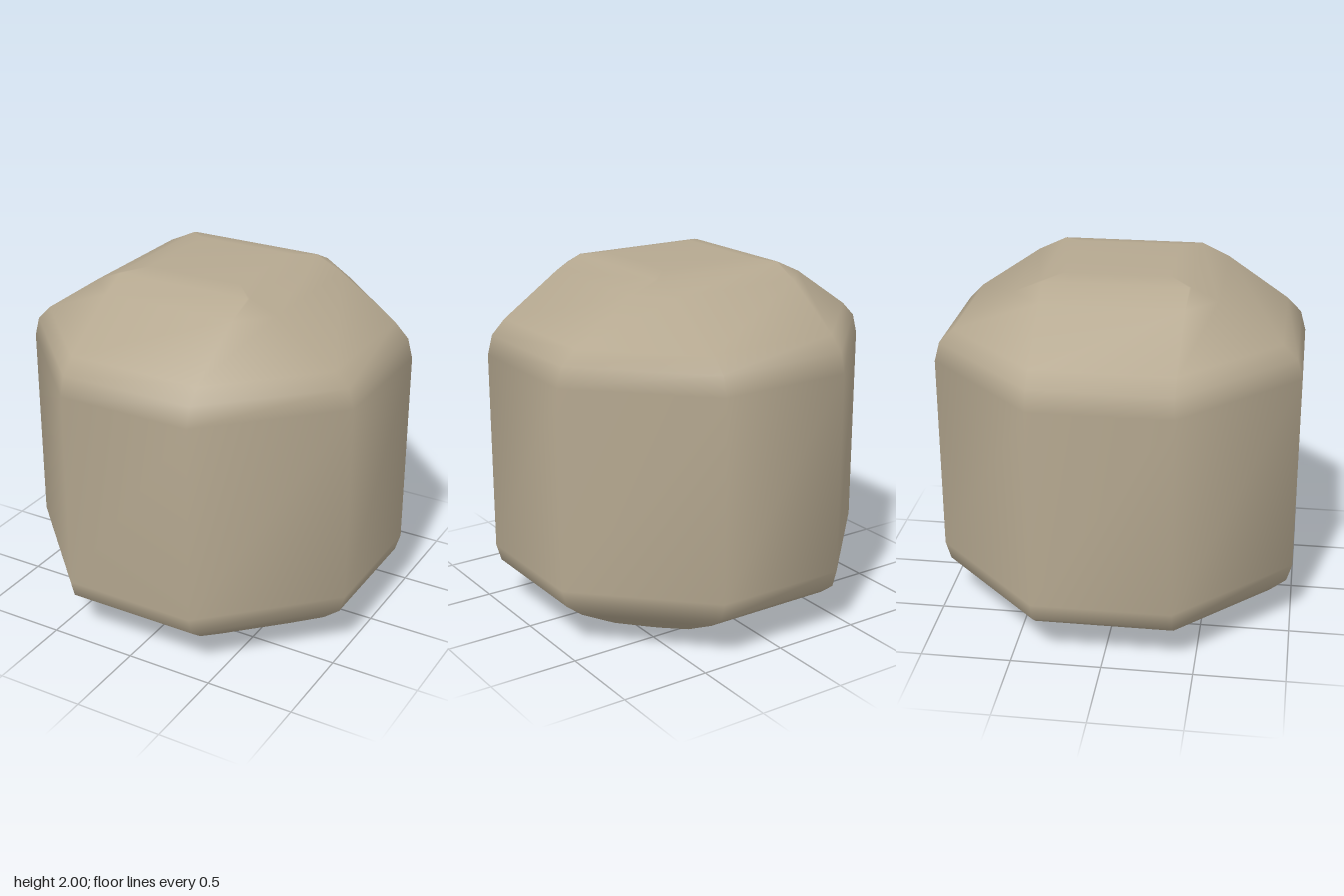
import * as THREE from 'three';
import { mergeVertices } from 'three/addons/utils/BufferGeometryUtils.js';

// Cross-sections from bottom to top: [reach of the four main sides, half width of those sides, height]
const SECTIONS = [
  [0.29, 0.29, 0], [0.47, 0.42, 0.02], [0.68, 0.39, 0.09], [0.88, 0.38, 0.19],
  [0.97, 0.38, 0.26], [1, 0.38, 0.36],
  [1, 0.38, 1.49], [0.97, 0.38, 1.6], [0.89, 0.38, 1.68],
  [0.55, 0.385, 1.91], [0.4, 0.39, 1.98], [0.28, 0.28, 2],
];

// Eight corners of a section, turning from +z towards +x
function ring([r, w, y]) {
  const points = [];
  for (let i = 0; i < 4; i++) {
    const s = Math.round(Math.sin(i * Math.PI / 2));
    const c = Math.round(Math.cos(i * Math.PI / 2));
    for (const x of [-w, w]) points.push(x * c + r * s, y, r * c - x * s);
  }
  return points;
}

// Octagonal block whose ends close to a square, shaded smoothly all over
function roundedBlock() {
  const positions = SECTIONS.flatMap(ring);
  const index = [];
  for (let k = 0; k < SECTIONS.length - 1; k++) {
    for (let i = 0; i < 8; i++) {
      const a = k * 8 + i, b = k * 8 + (i + 1) % 8;
      // skip slivers where the end section has merged corners
      if (!(k === 0 && i % 2)) index.push(a, b, b + 8);
      if (!(k === SECTIONS.length - 2 && i % 2)) index.push(a, b + 8, a + 8);
      else index.push(a, b, b + 8);
      if (k === SECTIONS.length - 2 && i % 2) index.splice(-3);
    }
  }
  // flat square ends
  const t = (SECTIONS.length - 1) * 8;
  index.push(0, 4, 2, 0, 6, 4, t, t + 2, t + 4, t, t + 4, t + 6);

  let geometry = new THREE.BufferGeometry();
  geometry.setAttribute('position', new THREE.Float32BufferAttribute(positions, 3));
  geometry.setIndex(index);
  geometry = mergeVertices(geometry, 1e-4);
  geometry.computeVertexNormals();
  return geometry;
}

export function createModel() {
  const group = new THREE.Group();
  group.name = 'bevelledBlock';
  const stone = new THREE.MeshStandardMaterial({ color: 0xb5a890 });
  const body = new THREE.Mesh(roundedBlock(), stone);
  body.name = 'body';
  group.add(body);
  return group;
}
